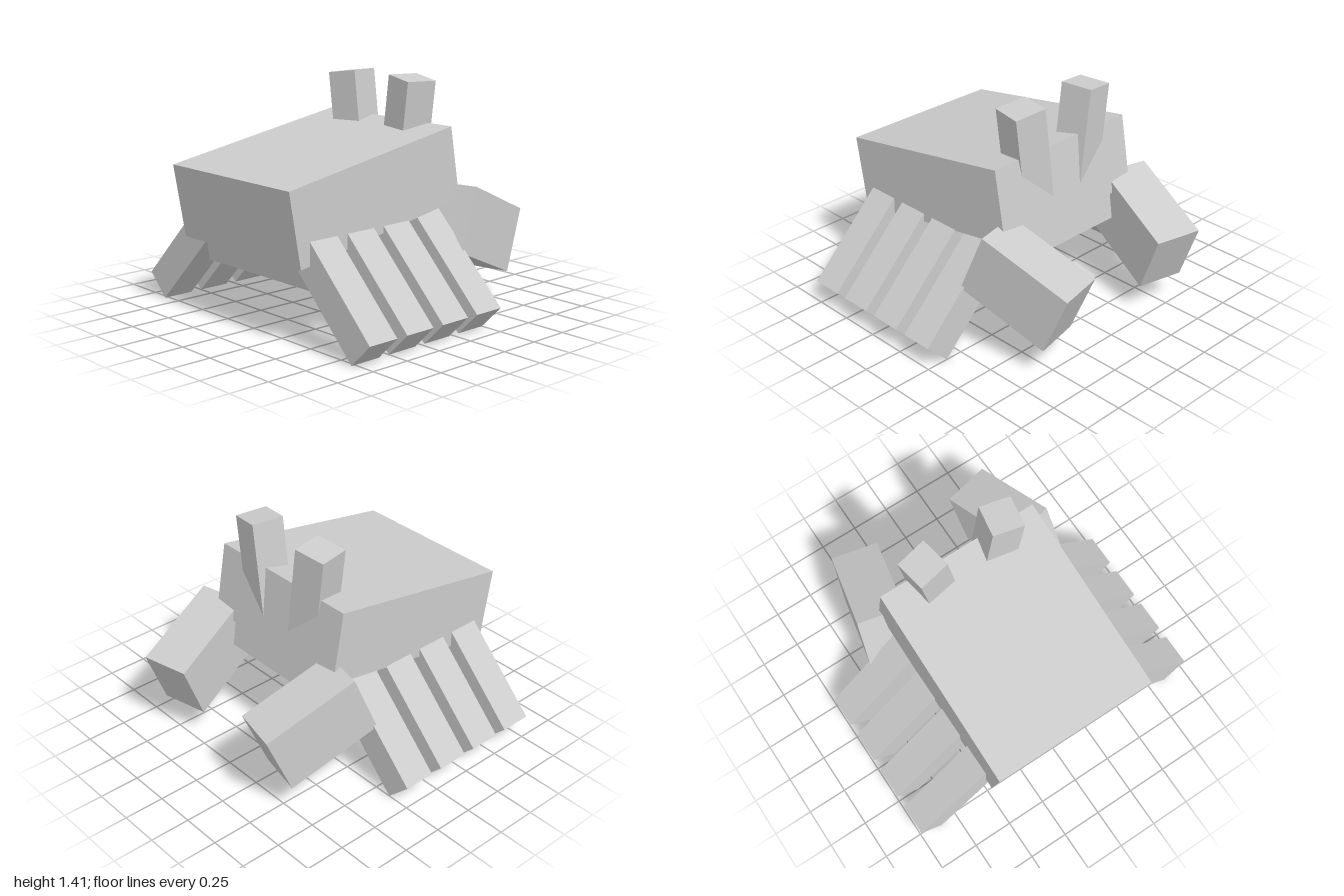
import * as THREE from 'three';

const material = new THREE.MeshStandardMaterial({ color: 0xcccccc, flatShading: true });
const rad = THREE.MathUtils.degToRad;

// A named box: size, centre, rotation in degrees and rotation order.
function box(name, size, position, rotation, order = 'XYZ') {
  const mesh = new THREE.Mesh(new THREE.BoxGeometry(...size), material);
  mesh.name = name;
  mesh.position.set(...position);
  mesh.rotation.set(...rotation.map(rad), order);
  return mesh;
}

export function createModel() {
  const model = new THREE.Group();
  model.name = 'crab';

  // Shell and belly, both tilted down towards the front
  model.add(box('shell', [1.055, 0.45, 1.254], [0, 0.8, 0.26], [9.9, 0, 0]));
  model.add(box('belly', [0.91, 0.28, 1.137], [0, 0.556, 0.185], [9.9, 0, 0]));

  for (const [side, s] of [['left', 1], ['right', -1]]) {
    // Four slanted legs in a row
    for (let i = 0; i < 4; i++) {
      const z = 0.675 - i * 0.275;
      model.add(box(`${side}Leg${i + 1}`, [0.8, 0.2, 0.2], [s * 0.647, 0.358, z], [0, 0, s * -45]));
    }

    // Claw, pitched down and turned inward
    model.add(box(`${side}Claw`, [0.3, 0.4, 0.6], [s * 0.495, 0.486, -0.538], [-22.5, s * 12.5, 0], 'YXZ'));

    // Eye stalk, leaning outward and sunk into the shell
    model.add(box(`${side}EyeStalk`, [0.2, 0.6, 0.2], [s * 0.227, 1.1, -0.255], [0, s * -10, s * -7.4], 'ZYX'));
  }
  return model;
}
